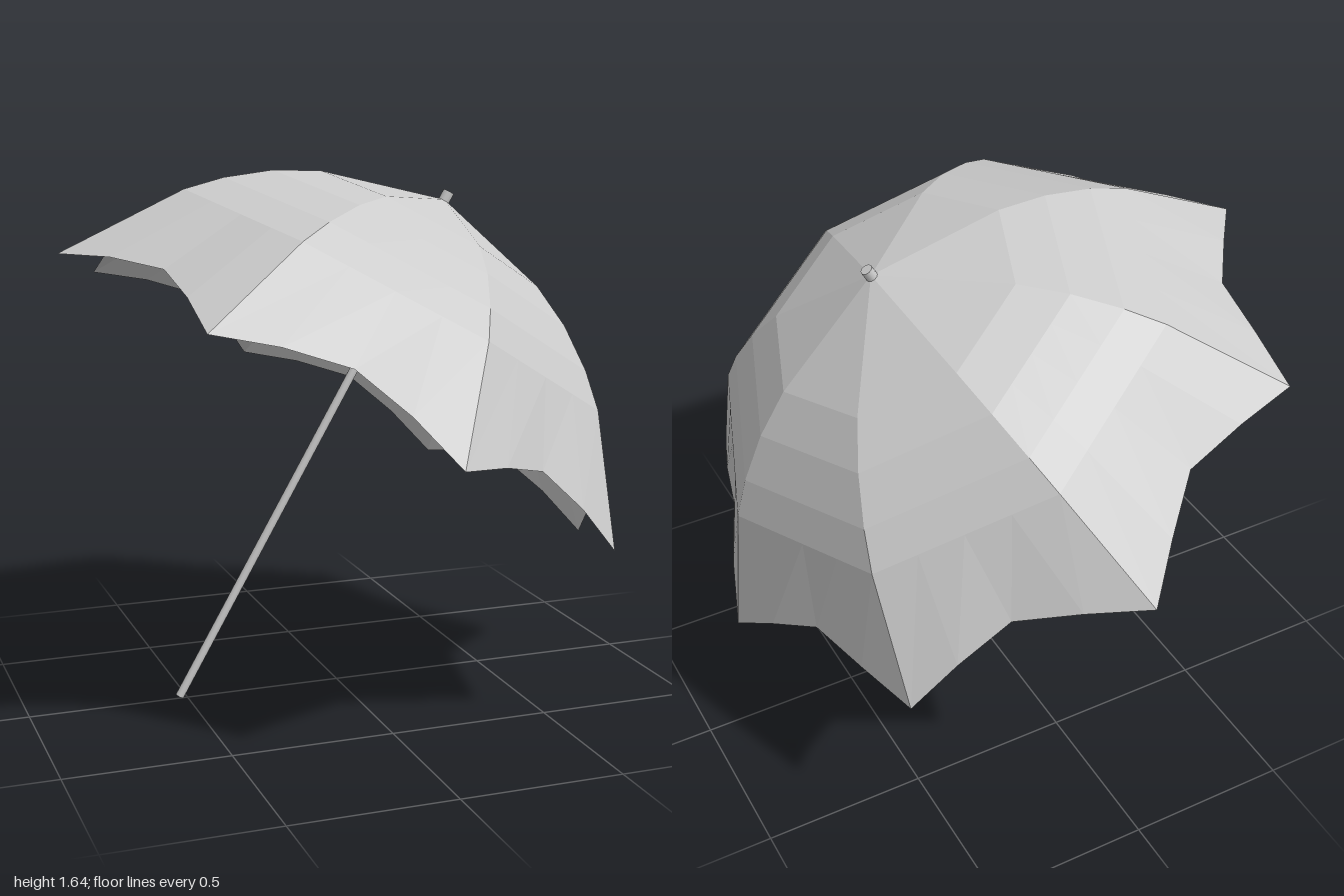
import * as THREE from 'three';

const PANELS = 8;
const HALF = Math.PI / PANELS;
// Rib profile from crown to the last full ring: [radius, height]
const RIB = [[0, 0.72], [0.405, 0.6], [0.541, 0.528], [0.665, 0.435], [0.756, 0.346]];
// Scalloped hem of one panel: [outward distance, sideways offset, height]
const HEM = [
  [Math.cos(HALF), -Math.sin(HALF), 0],
  [0.89, -0.196, 0.062],
  [0.85, 0, 0.102],
  [0.89, 0.196, 0.062],
  [Math.cos(HALF), Math.sin(HALF), 0],
];

function canopyGeometry() {
  const pos = [];
  for (let k = 0; k < PANELS; k++) {
    const mid = (2 * k + 1) * HALF;
    const place = ([out, side, y]) => [
      out * Math.cos(mid) - side * Math.sin(mid), y,
      out * Math.sin(mid) + side * Math.cos(mid),
    ];
    // Straight rows between neighbouring ribs, then the scalloped hem
    const rows = RIB.map(([r, y]) => [-1, -0.5, 0, 0.5, 1].map(
      (t) => place([r * Math.cos(HALF), t * r * Math.sin(HALF), y])));
    rows.push(HEM.map(place));
    for (let i = 0; i < rows.length - 1; i++) {
      for (let j = 0; j < 4; j++) {
        const a = rows[i][j], b = rows[i][j + 1];
        const c = rows[i + 1][j], d = rows[i + 1][j + 1];
        if (i > 0) pos.push(...a, ...b, ...d);
        pos.push(...a, ...d, ...c);
      }
    }
  }
  const geo = new THREE.BufferGeometry();
  geo.setAttribute('position', new THREE.Float32BufferAttribute(pos, 3));
  geo.computeVertexNormals();
  return geo;
}

function rod(name, radius, bottom, top) {
  const mesh = new THREE.Mesh(
    new THREE.CylinderGeometry(radius, radius, top - bottom, 12),
    new THREE.MeshStandardMaterial({ color: 0xcccccc }));
  mesh.name = name;
  mesh.position.y = (top + bottom) / 2;
  return mesh;
}

export function createModel() {
  const model = new THREE.Group();
  model.name = 'parasol';

  // Everything is built upright about the pole, then leaned over
  const tilted = new THREE.Group();
  tilted.name = 'tiltedParasol';
  tilted.position.y = 0.917;
  tilted.rotation.z = -Math.PI / 6;
  model.add(tilted);

  const canopy = new THREE.Mesh(canopyGeometry(), new THREE.MeshStandardMaterial({
    color: 0xcccccc, flatShading: true, side: THREE.DoubleSide,
  }));
  canopy.name = 'canopy';
  tilted.add(canopy);

  tilted.add(rod('pole', 0.0135, -1.051, 0.72));
  tilted.add(rod('finial', 0.018, 0.705, 0.747));
  return model;
}
